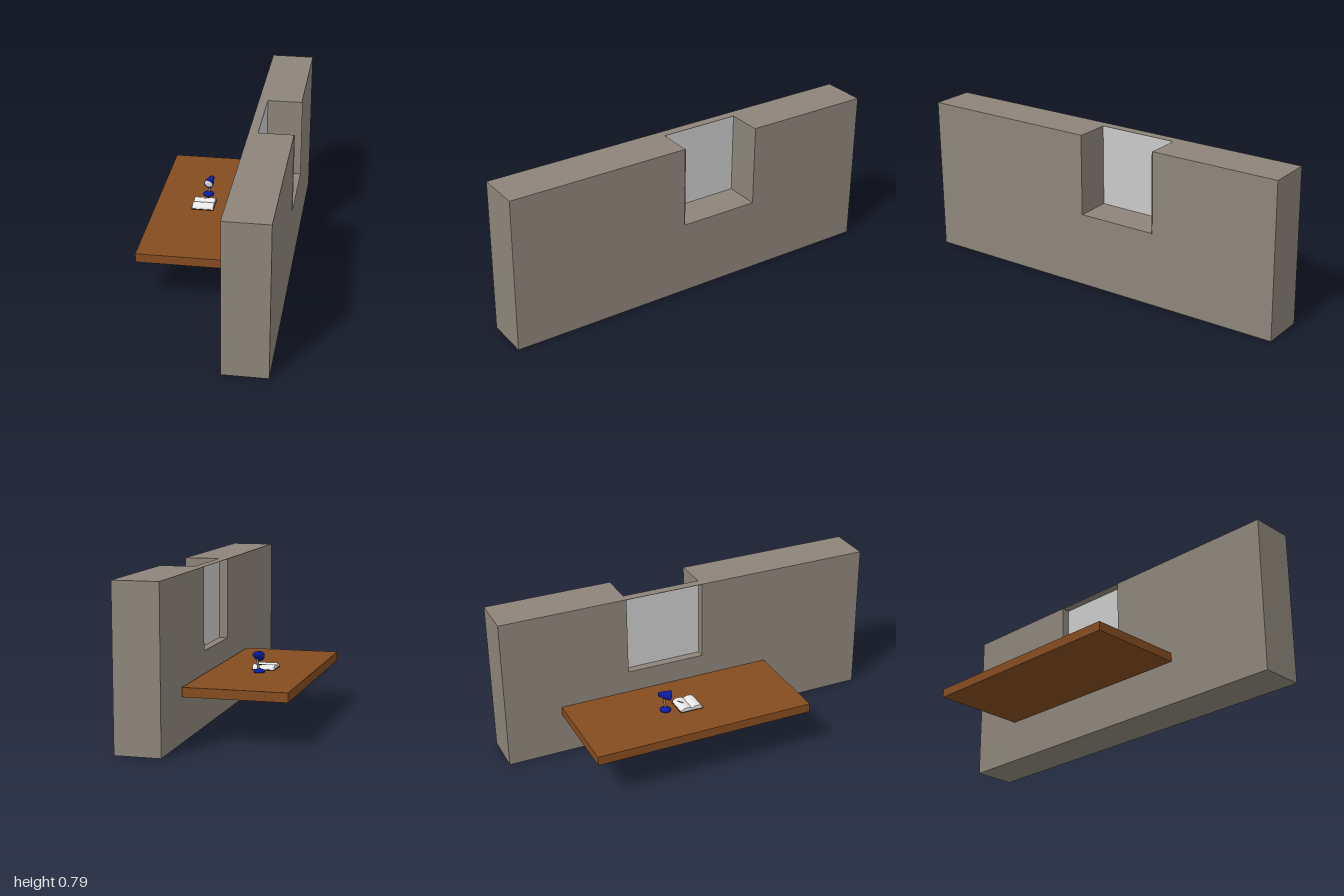
import * as THREE from 'three';

function material(name, color, side = THREE.FrontSide) {
  const m = new THREE.MeshStandardMaterial({ color, side });
  m.name = name;
  return m;
}

export function createModel() {
  const stone = material('stone', 0x8d857a);
  const glass = material('pale glass', 0xcacaca);
  const wood = material('wood', 0x854c20);
  const blue = material('blue enamel', 0x0a1ca0, THREE.DoubleSide);
  const paper = material('white paper', 0xe8e8e8);
  const cover = material('dark cover', 0x4a2c16);

  const model = new THREE.Group();
  model.name = 'windowDesk';

  function add(name, geometry, mat, parent = model) {
    const mesh = new THREE.Mesh(geometry, mat);
    mesh.name = name;
    parent.add(mesh);
    return mesh;
  }
  // Box given by its lower and upper limits on each axis
  function box(name, mat, [x0, x1], [y0, y1], [z0, z1], parent) {
    const mesh = add(name, new THREE.BoxGeometry(x1 - x0, y1 - y0, z1 - z0), mat, parent);
    mesh.position.set((x0 + x1) / 2, (y0 + y1) / 2, (z0 + z1) / 2);
    return mesh;
  }
  // Profile drawn in (-z, y), extruded along +x from x0 to x1
  function extrudeX(name, mat, shape, x0, x1, parent) {
    const g = new THREE.ExtrudeGeometry(shape, { depth: x1 - x0, bevelEnabled: false, curveSegments: 10 });
    g.rotateY(Math.PI / 2);
    g.translate(x0, 0, 0);
    return add(name, g, mat, parent);
  }

  // Wall with a window notch cut through its top
  const H = 0.787, sill = 0.377, zBack = -0.342, zFront = 0.07;
  const wall = new THREE.Group();
  wall.name = 'wall';
  model.add(wall);
  const outline = new THREE.Shape([
    [-1, 0], [1, 0], [1, H], [-zBack, H], [-zBack, sill], [-zFront, sill], [-zFront, H], [-1, H],
  ].map(([a, b]) => new THREE.Vector2(a, b)));
  extrudeX('wallBody', stone, outline, 0.14, 0.362, wall);

  // Window pane, thin lintel and the lining of the reveal
  box('windowPane', glass, [0.183, 0.186], [sill, H - 0.002], [zBack, zFront], wall);
  box('lintel', stone, [0.14, 0.186], [H - 0.002, H], [zBack, zFront], wall);
  box('sillLining', stone, [0.186, 0.366], [sill - 0.002, sill + 0.001], [zBack, zFront], wall);
  box('backJambLining', stone, [0.186, 0.366], [sill, H], [zBack - 0.001, zBack + 0.001], wall);
  box('frontJambLining', stone, [0.186, 0.366], [sill, H], [zFront - 0.001, zFront + 0.001], wall);

  // Desk top
  const top = 0.266;
  box('deskTop', wood, [-0.366, 0.135], [0.22, top], [-0.71, 0.432]);

  // Open book with two curved page blocks
  const book = new THREE.Group();
  book.name = 'book';
  model.add(book);
  box('bookCover', cover, [-0.173, -0.059], [top, top + 0.003], [-0.193, -0.069], book);
  const pages = new THREE.Shape();
  pages.moveTo(0.072, top + 0.003);
  pages.lineTo(0.19, top + 0.003);
  pages.bezierCurveTo(0.19, 0.29, 0.15, 0.296, 0.131, 0.28);
  pages.bezierCurveTo(0.112, 0.296, 0.072, 0.29, 0.072, top + 0.003);
  extrudeX('pages', paper, pages, -0.171, -0.061, book);

  // Pen lying on the pages
  const pen = add('pen', new THREE.CylinderGeometry(0.002, 0.002, 0.035, 8), cover, book);
  pen.rotation.set(0, 0.5, Math.PI / 2);
  pen.position.set(-0.105, 0.289, -0.166);

  // Small desk lamp
  const lamp = new THREE.Group();
  lamp.name = 'lamp';
  model.add(lamp);
  const profile = (pts) => new THREE.LatheGeometry(pts.map(([r, y]) => new THREE.Vector2(r, y)), 20);
  const base = add('lampBase', profile([[0.001, 0], [0.028, 0], [0.028, 0.006], [0.022, 0.013], [0.008, 0.019], [0.001, 0.02]]), blue, lamp);
  base.position.set(-0.112, top, -0.25);
  const neck = new THREE.CatmullRomCurve3([
    new THREE.Vector3(-0.11, top + 0.015, -0.25),
    new THREE.Vector3(-0.106, 0.305, -0.252),
    new THREE.Vector3(-0.102, 0.345, -0.255),
  ]);
  add('lampNeck', new THREE.TubeGeometry(neck, 10, 0.006, 10), stone, lamp);

  // Shade opens forward, down and a little to the right
  const head = new THREE.Group();
  head.name = 'lampHead';
  head.position.set(-0.102, 0.349, -0.25);
  head.quaternion.setFromUnitVectors(
    new THREE.Vector3(0, 1, 0), new THREE.Vector3(-0.22, -0.25, 0.94).normalize());
  lamp.add(head);
  add('lampShade', profile([[0.001, -0.032], [0.011, -0.031], [0.015, -0.015], [0.021, 0.002], [0.025, 0.032]]), blue, head);
  const bulb = add('lampDiffuser', new THREE.SphereGeometry(0.0235, 16, 8, 0, Math.PI * 2, 0, Math.PI / 2), paper, head);
  bulb.scale.y = 0.3;
  bulb.position.y = 0.027;

  return model;
}
